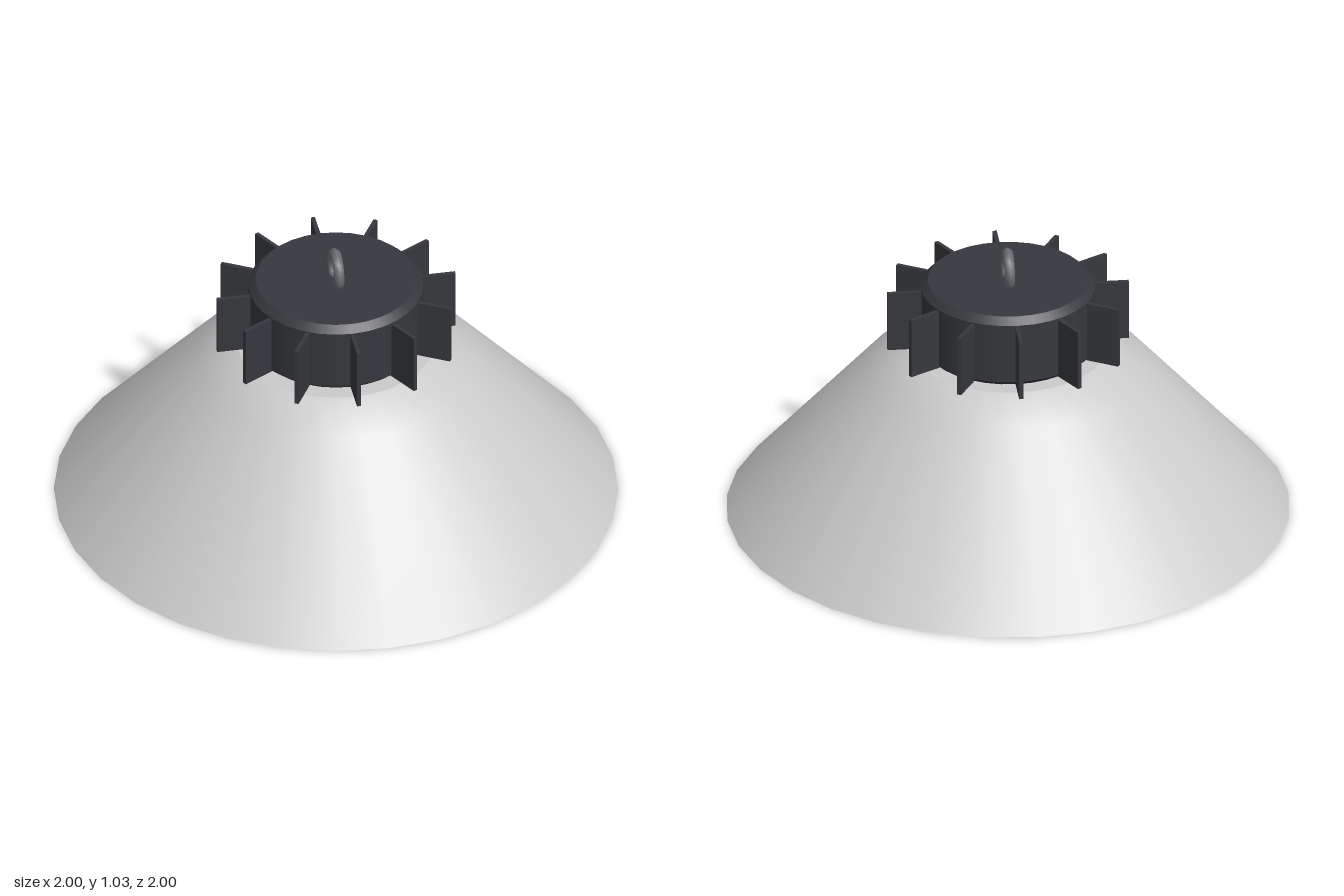
import * as THREE from 'three';
import { mergeGeometries } from 'three/addons/utils/BufferGeometryUtils.js';

const grey = new THREE.MeshStandardMaterial({ color: 0xcccccc });
const dark = new THREE.MeshStandardMaterial({ color: 0x36383d });
const steel = new THREE.MeshStandardMaterial({ color: 0x6c6e72 });

// Each profile is smooth within itself; edges between profiles stay sharp.
function turned(name, profiles, segments, material) {
  const parts = profiles.map((p) =>
    new THREE.LatheGeometry(p.map(([r, y]) => new THREE.Vector2(r, y)), segments));
  const mesh = new THREE.Mesh(mergeGeometries(parts), material);
  mesh.name = name;
  return mesh;
}

export function createModel() {
  const lamp = new THREE.Group();
  lamp.name = 'highBayLamp';

  // Hollow conical reflector: rim, outer wall with shoulder, flat top, inner wall
  lamp.add(turned('shade', [
    [[0.98, 0], [1, 0]],
    [[1, 0], [0.5, 0.57], [0.35, 0.64]],
    [[0.35, 0.64], [0, 0.64]],
    [[0.46, 0.53], [0.98, 0]],
  ], 32, grey));

  // Flat panel closing the inside of the shade
  lamp.add(turned('lightPanel', [[[0, 0.53], [0.46, 0.53]]], 32, grey));

  // Driver housing with chamfered ends
  lamp.add(turned('housing', [
    [[0, 0.638], [0.285, 0.638]],
    [[0.285, 0.638], [0.31, 0.66]],
    [[0.31, 0.66], [0.31, 0.885]],
    [[0.31, 0.885], [0.285, 0.91]],
    [[0.285, 0.91], [0, 0.91]],
  ], 32, dark));

  // Radial cooling fins
  const fins = new THREE.Group();
  fins.name = 'coolingFins';
  const finGeometry = new THREE.BoxGeometry(0.15, 0.225, 0.015).translate(0.355, 0.767, 0);
  for (let i = 0; i < 12; i++) {
    const fin = new THREE.Mesh(finGeometry, dark);
    fin.name = 'fin';
    fin.rotation.y = (i * Math.PI) / 6;
    fins.add(fin);
  }
  lamp.add(fins);

  // Hanging ring, half sunk into the lid
  const ring = new THREE.Mesh(new THREE.TorusGeometry(0.058, 0.02, 6, 16), steel);
  ring.name = 'hangingRing';
  ring.rotation.y = Math.PI / 2;
  ring.position.y = 0.95;
  lamp.add(ring);

  return lamp;
}
